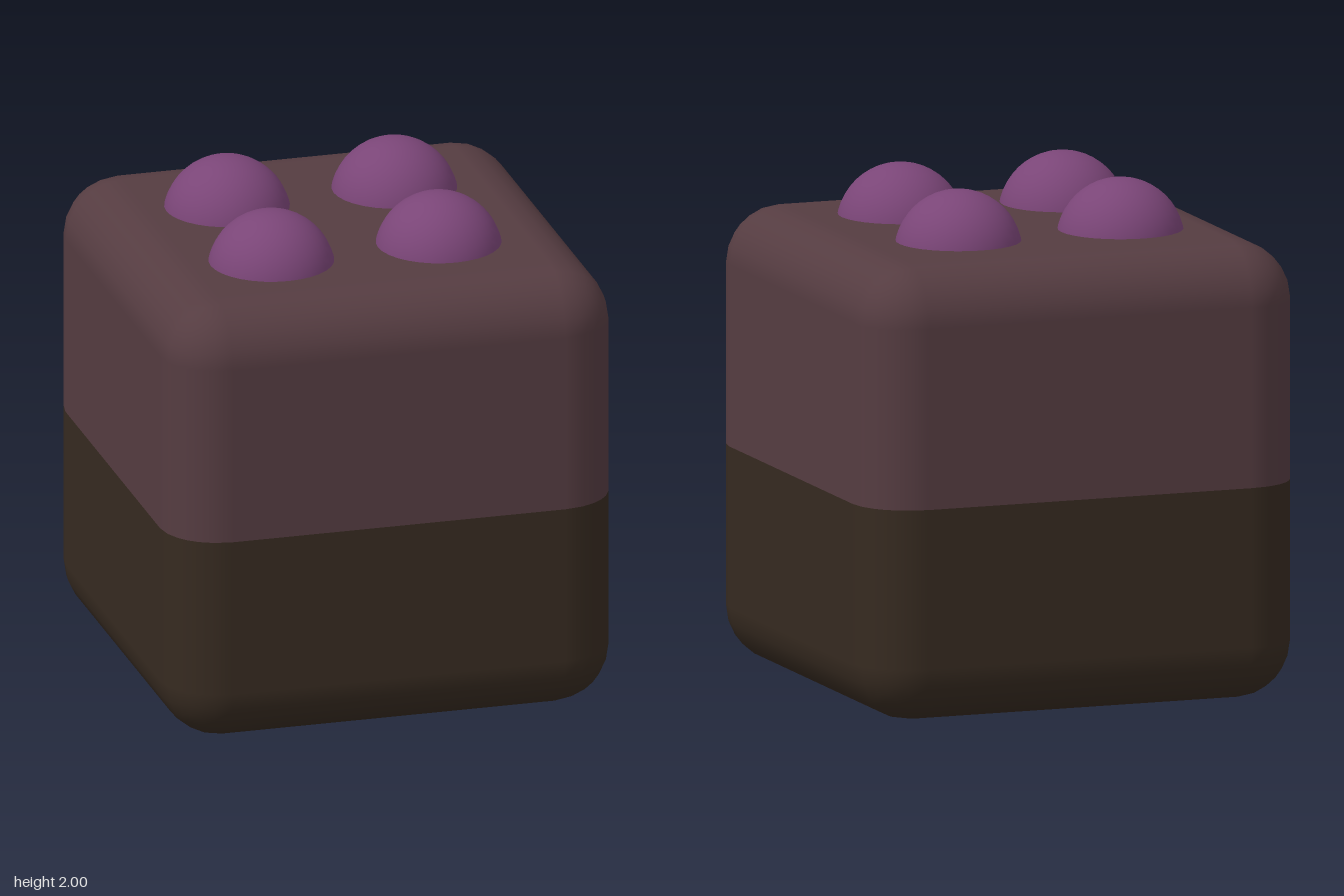
import * as THREE from 'three';
import { RoundedBoxGeometry } from 'three/addons/geometries/RoundedBoxGeometry.js';

const SIZE = 1.8;
const SPLIT = 0.86; // height where the two layers meet

function createMesh(name, geometry, color) {
  const mesh = new THREE.Mesh(geometry, new THREE.MeshStandardMaterial({ color }));
  mesh.name = name;
  return mesh;
}

// Rounded cube with everything outside the given heights flattened to a lid
function createLayer(name, minY, maxY, color) {
  const geometry = new RoundedBoxGeometry(SIZE, SIZE, SIZE, 3, 0.23);
  geometry.translate(0, SIZE / 2, 0);
  const position = geometry.attributes.position;
  for (let i = 0; i < position.count; i++) {
    position.setY(i, THREE.MathUtils.clamp(position.getY(i), minY, maxY));
  }
  return createMesh(name, geometry, color);
}

export function createModel() {
  const model = new THREE.Group();
  model.name = 'layeredCube';

  // Two-tone body
  model.add(createLayer('lowerLayer', 0, SPLIT, 0x362a20));
  model.add(createLayer('upperLayer', SPLIT, SIZE, 0x553c41));

  // Four balls sunk into the top
  const ballGeometry = new THREE.SphereGeometry(0.25, 32, 24);
  const ballSpots = [[-0.36, -0.28], [0.32, -0.3], [-0.36, 0.35], [0.32, 0.33]];
  for (const [x, z] of ballSpots) {
    const ball = createMesh('topBall', ballGeometry, 0x7a4577);
    ball.position.set(x, 1.75, z);
    model.add(ball);
  }
  return model;
}
